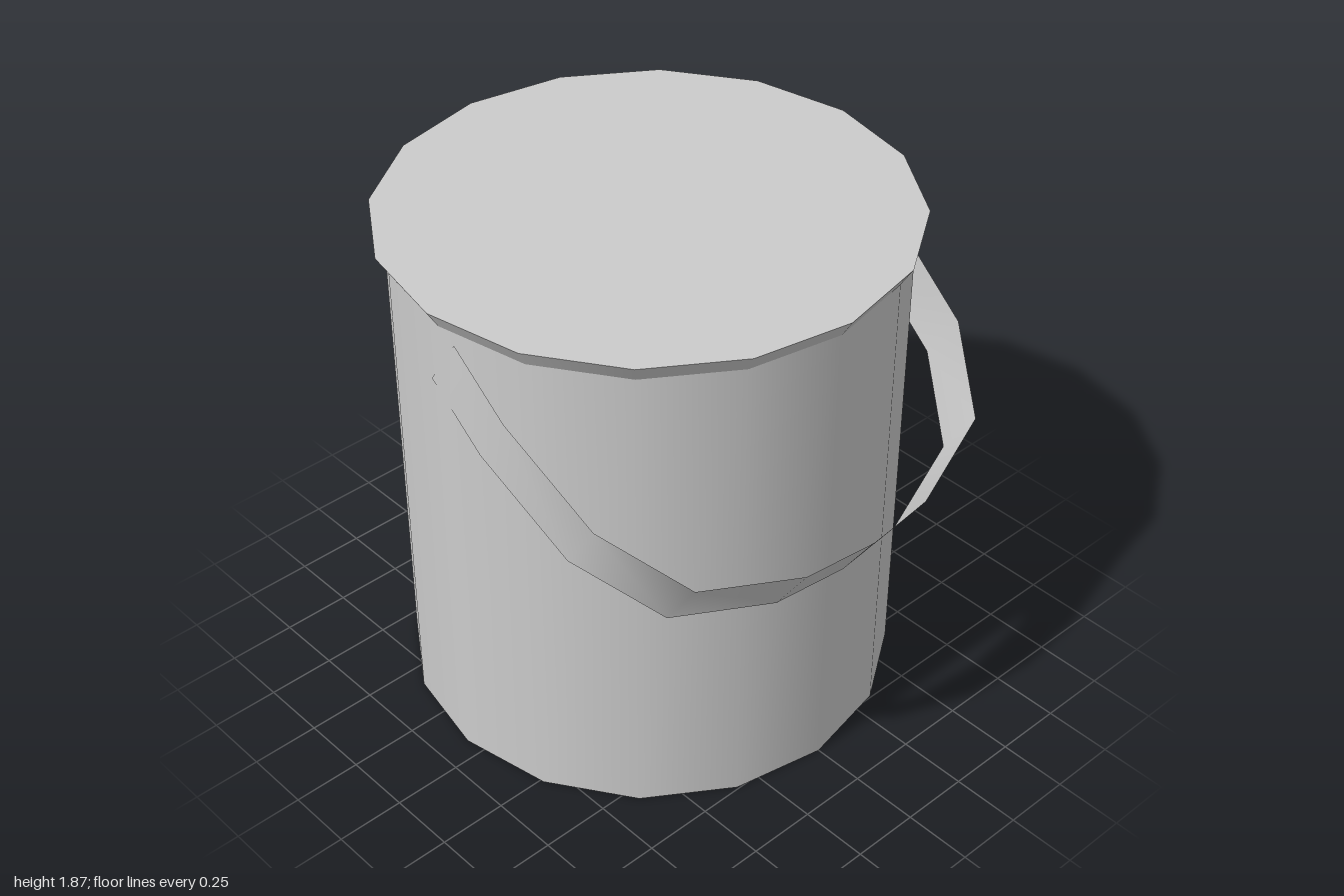
import * as THREE from 'three';

const grey = new THREE.MeshStandardMaterial({ color: 0xcccccc });
const greyThin = new THREE.MeshStandardMaterial({ color: 0xcccccc, side: THREE.DoubleSide });

const SIDES = 16;
const BODY_RADIUS = 0.885;
const RIM_RADIUS = 0.925;
const BODY_HEIGHT = 1.8;
const RIM_HEIGHT = 0.066;
const BODY_Z = -0.075;

function addDrum(group, name, topRadius, bottomRadius, height, baseY) {
  const mesh = new THREE.Mesh(new THREE.CylinderGeometry(topRadius, bottomRadius, height, SIDES), grey);
  mesh.name = name;
  mesh.position.set(0, baseY + height / 2, BODY_Z);
  group.add(mesh);
}

// Flat strap: an upper edge path, copied down and back to form the lower edge
function strapGeometry(path, drop) {
  const positions = [];
  const indices = [];
  path.forEach((p, i) => {
    positions.push(...p.toArray(), ...p.clone().add(drop).toArray());
    if (i > 0) {
      const a = (i - 1) * 2;
      indices.push(a, a + 1, a + 3, a, a + 3, a + 2);
    }
  });
  const geometry = new THREE.BufferGeometry();
  geometry.setAttribute('position', new THREE.Float32BufferAttribute(positions, 3));
  geometry.setIndex(indices);
  geometry.computeVertexNormals();
  return geometry;
}

export function createModel() {
  const model = new THREE.Group();
  model.name = 'bucket';

  // Straight body and flared, closed rim
  addDrum(model, 'body', BODY_RADIUS, BODY_RADIUS, BODY_HEIGHT, 0);
  addDrum(model, 'rimLid', RIM_RADIUS, BODY_RADIUS, RIM_HEIGHT, BODY_HEIGHT);

  // Handle hanging forward: left half from the middle to the pivot, mirrored to the right
  const half = [
    [0, 1.08, 1.0],
    [0.28, 1.08, 0.97],
    [0.655, 1.163, 0.85],
    [0.84, 1.345, 0.59],
    [0.886, 1.585, 0.23],
    [0.877, 1.755, -0.01],
  ].map((p) => new THREE.Vector3(...p));
  const mirrored = half.slice(1).reverse().map((p) => new THREE.Vector3(-p.x, p.y, p.z));
  const handle = new THREE.Mesh(
    strapGeometry([...mirrored, ...half], new THREE.Vector3(0, -0.192, -0.128)),
    greyThin,
  );
  handle.name = 'handle';
  model.add(handle);

  return model;
}
